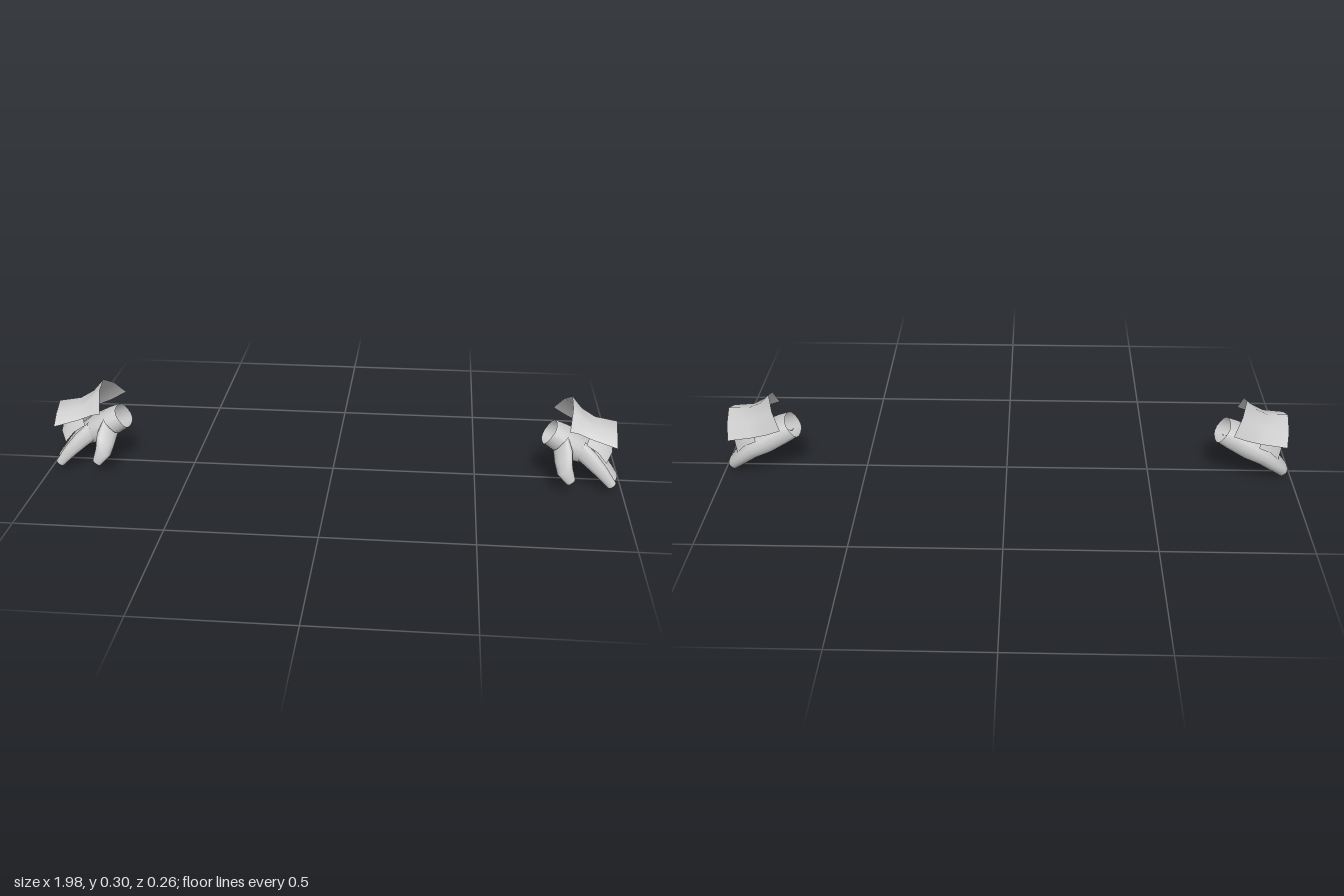
import * as THREE from 'three';

const material = new THREE.MeshStandardMaterial({ color: 0xcccccc, side: THREE.DoubleSide });

// Skin a list of equally long point rows; side = -1 mirrors in x
function skin(name, rows, side, closed) {
  const n = rows[0].length, index = [];
  for (let i = 0; i < rows.length - 1; i++) {
    for (let j = 0; j < (closed ? n : n - 1); j++) {
      const k = (j + 1) % n;
      const a = i * n + j, b = i * n + k, c = a + n, d = b + n;
      if (side > 0) index.push(a, b, c, b, d, c);
      else index.push(a, c, b, b, c, d);
    }
  }
  const geometry = new THREE.BufferGeometry();
  const points = rows.flat().flatMap(([x, y, z]) => [x * side, y, z]);
  geometry.setAttribute('position', new THREE.Float32BufferAttribute(points, 3));
  geometry.setIndex(index);
  geometry.computeVertexNormals();
  const mesh = new THREE.Mesh(geometry, material);
  mesh.name = name;
  return mesh;
}

// Rounded-square ring: centre, half thickness, half width (z), heading in the xy plane
function ring([x, y, z, thick, width, heading], sides = 16) {
  const soft = (v) => Math.sign(v) * Math.pow(Math.abs(v), 0.8);
  return Array.from({ length: sides }, (_, i) => {
    const a = (i / sides) * Math.PI * 2;
    const t = soft(Math.sin(a)) * thick, w = soft(Math.cos(a)) * width;
    return [x - Math.sin(heading) * t, y + Math.cos(heading) * t, z + w];
  });
}

// Tapered limb with a closed, slightly rounded tip
function limb(name, sections, side) {
  const last = sections[sections.length - 1];
  const rows = sections.map((s) => ring(s));
  const h = last[5];
  const nudge = (d, f) => [last[0] + Math.cos(h) * d, last[1] + Math.sin(h) * d, last[2], last[3] * f, last[4] * f, h];
  rows.push(ring(nudge(0.003, 0.85)), ring(nudge(0.004, 0)));
  return skin(name, rows, side, true);
}

function createGlove(side) {
  const glove = new THREE.Group();
  glove.name = side > 0 ? 'leftGlove' : 'rightGlove';

  // Open wrist, palm and the broad block of joined fingers
  glove.add(limb('palmAndFingers', [
    [0.75, 0.175, -0.01, 0.042, 0.058, -0.6],
    [0.785, 0.157, -0.008, 0.046, 0.067, -0.6],
    [0.845, 0.125, -0.01, 0.046, 0.078, -0.6],
    [0.895, 0.097, -0.022, 0.036, 0.068, -0.65],
    [0.938, 0.057, -0.017, 0.027, 0.06, -0.8],
    [0.975, 0.017, -0.001, 0.021, 0.048, -0.9],
  ], side));

  // Separate index finger
  glove.add(limb('indexFinger', [
    [0.85, 0.135, 0.035, 0.032, 0.025, -0.6],
    [0.89, 0.105, 0.057, 0.029, 0.024, -0.7],
    [0.93, 0.067, 0.075, 0.023, 0.021, -0.8],
    [0.965, 0.027, 0.087, 0.016, 0.017, -0.9],
  ], side));

  // Thumb
  glove.add(limb('thumb', [
    [0.785, 0.158, 0.035, 0.036, 0.03, -0.7],
    [0.795, 0.123, 0.08, 0.036, 0.027, -0.95],
    [0.8, 0.085, 0.108, 0.029, 0.02, -1.1],
    [0.823, 0.048, 0.118, 0.017, 0.013, -0.9],
  ], side));

  // Flared cuff plate, pinched across the middle
  glove.add(skin('cuffPlate', [
    [[0.81, 0.215, 0.08], [0.82, 0.28, 0.03], [0.82, 0.302, -0.03], [0.8, 0.267, -0.09], [0.77, 0.215, -0.13]],
    [[0.84, 0.207, 0.075], [0.852, 0.25, 0.04], [0.855, 0.263, -0.02], [0.845, 0.24, -0.08], [0.82, 0.19, -0.115]],
    [[0.89, 0.19, 0.085], [0.895, 0.222, 0.053], [0.9, 0.238, -0.01], [0.895, 0.212, -0.068], [0.88, 0.168, -0.1]],
    [[0.97, 0.172, 0.107], [0.97, 0.207, 0.068], [0.974, 0.23, 0.004], [0.972, 0.193, -0.052], [0.965, 0.15, -0.09]],
  ], side, false));

  // Smaller plate over the back of the hand
  glove.add(skin('knucklePlate', [
    [[0.87, 0.165, 0.07], [0.885, 0.2, 0.048], [0.89, 0.212, 0], [0.885, 0.195, -0.05], [0.87, 0.145, -0.085]],
    [[0.91, 0.14, 0.075], [0.93, 0.178, 0.052], [0.936, 0.19, 0.005], [0.93, 0.168, -0.045], [0.915, 0.12, -0.075]],
    [[0.94, 0.105, 0.085], [0.96, 0.135, 0.055], [0.966, 0.148, 0.012], [0.96, 0.125, -0.03], [0.945, 0.085, -0.06]],
  ], side, false));
  return glove;
}

export function createModel() {
  const model = new THREE.Group();
  model.name = 'armouredGloves';
  for (const side of [1, -1]) model.add(createGlove(side));
  return model;
}
